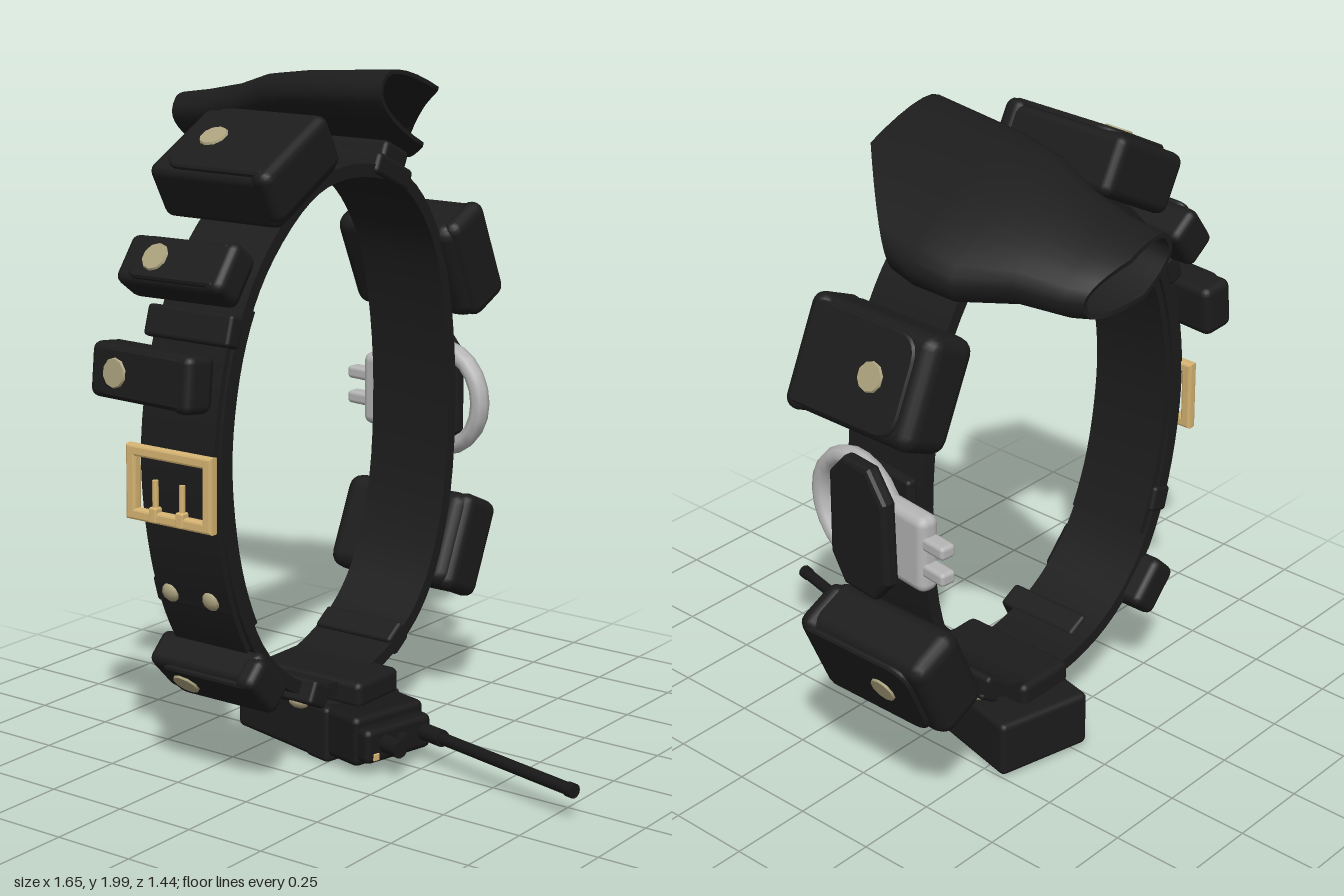
import * as THREE from 'three';
import { toCreasedNormals } from 'three/addons/utils/BufferGeometryUtils.js';
import { RoundedBoxGeometry } from 'three/addons/geometries/RoundedBoxGeometry.js';

const material = (name, color, side = THREE.FrontSide) => {
  const m = new THREE.MeshStandardMaterial({ color, side });
  m.name = name;
  return m;
};

export function createModel() {
  const leather = material('black leather', 0x1c1c1c, THREE.DoubleSide);
  const plastic = material('black plastic', 0x181818);
  const brass = material('brass', 0xd6b472);
  const stud = material('stud metal', 0xaca27e);
  const steel = material('steel', 0xb6b6b6);
  const root = new THREE.Group();
  root.name = 'dutyBelt';

  const add = (parent, name, geo, mat, x = 0, y = 0, z = 0) => {
    const m = new THREE.Mesh(geo, mat);
    m.name = name;
    m.position.set(x, y, z);
    parent.add(m);
    return m;
  };
  const block = (parent, name, mat, [x0, x1], [y0, y1], [z0, z1], r = 0.02) =>
    add(parent, name, new RoundedBoxGeometry(x1 - x0, y1 - y0, z1 - z0, 2, r), mat,
      (x0 + x1) / 2, (y0 + y1) / 2, (z0 + z1) / 2);
  // Group whose local +z points outward along (nz, ny) from the belt loop
  const place = (name, z, y, nz, ny) => {
    const g = new THREE.Group();
    g.name = name;
    g.position.set(0, y, z);
    g.rotation.x = -Math.atan2(ny, nz);
    root.add(g);
    return g;
  };
  const button = (parent, x, y, z, r = 0.044) => {
    const b = add(parent, 'snapButton', new THREE.CylinderGeometry(r * 0.9, r, 0.009, 10), stud, x, y, z);
    b.rotation.x = Math.PI / 2;
  };

  // Belt loop in the z-y plane, clockwise from the top
  const loop = new THREE.CatmullRomCurve3([
    [0, 1.75], [0.19, 1.71], [0.4, 1.54], [0.52, 1.34], [0.585, 1.08], [0.585, 0.86],
    [0.53, 0.6], [0.42, 0.39], [0.24, 0.25], [-0.02, 0.2], [-0.26, 0.28], [-0.4, 0.41],
    [-0.5, 0.65], [-0.53, 1.02], [-0.49, 1.34], [-0.42, 1.53], [-0.27, 1.69],
  ].map(([z, y]) => new THREE.Vector3(z, y, 0)), true);
  const offset = (t, d) => {
    const p = loop.getPoint(t), n = loop.getTangent(t);
    return new THREE.Vector2(p.x - n.y * d, p.y + n.x * d);
  };
  const run = (a, b, d, n) => Array.from({ length: n + 1 }, (_, i) => offset(a + (b - a) * i / n, d));
  const ribbon = (name, shape, x0, x1) => {
    const geo = new THREE.ExtrudeGeometry(shape, { depth: x1 - x0, bevelEnabled: false });
    geo.rotateY(-Math.PI / 2);
    add(root, name, toCreasedNormals(geo, 0.6), leather, x1);
  };
  const beltShape = new THREE.Shape(run(0, 1, 0, 80).slice(0, -1));
  beltShape.holes.push(new THREE.Path(run(0, 1, -0.038, 80).slice(0, -1)));
  ribbon('belt', beltShape, -0.28, 0);
  const strap = (name, a, b, d0, d1, x0, x1) =>
    ribbon(name, new THREE.Shape([...run(a, b, d1, 20), ...run(a, b, d0, 20).reverse()]), x0, x1);
  strap('strapTail', 3 / 17, 6.7 / 17, -0.002, 0.018, -0.27, -0.01);
  strap('innerOverlap', 2.6 / 17, 6.5 / 17, -0.06, -0.036, -0.27, -0.01);

  // Pouches: body, flap hinged on the +x edge, snap button
  const pouch = (name, z, y, nz, ny, x0, x1, h, d, bx, r, yaw = 0) => {
    const g = place(name, z, y, nz, ny);
    g.rotation.y = yaw;
    block(g, 'pouchBody', leather, [x0, x1 - 0.015], [-h / 2, h / 2], [-d / 2, d / 2 - 0.01], r);
    block(g, 'flapTop', leather, [x1 - 0.07, x1], [-h / 2 - 0.003, h / 2 + 0.003], [-d / 2 + 0.02, d / 2], r);
    const e = x0 + 0.05, k = h / 2 - r * 0.4, c = h * 0.22;
    const s = new THREE.Shape();
    s.moveTo(x1 - 0.03, -k);
    s.lineTo(x1 - 0.03, k);
    s.lineTo(e + c, k);
    s.quadraticCurveTo(e, k, e, k - c);
    s.lineTo(e, c - k);
    s.quadraticCurveTo(e, -k, e + c, -k);
    const flap = new THREE.ExtrudeGeometry(s, {
      depth: 0.008, bevelSize: 0.006, bevelThickness: 0.006, bevelSegments: 1, bevelOffset: -0.006, curveSegments: 5,
    });
    add(g, 'flap', toCreasedNormals(flap, 0.7), leather, 0, 0, d / 2 - 0.014);
    button(g, bx, 0, d / 2 + 0.002);
  };
  pouch('largeFrontPouch', 0.258, 1.76, 0.47, 0.88, -0.39, 0.04, 0.31, 0.185, -0.25, 0.03);
  pouch('upperSmallPouch', 0.5, 1.505, 0.8, 0.6, -0.39, 0, 0.15, 0.125, -0.26, 0.025, -0.03);
  pouch('middleSmallPouch', 0.657, 1.235, 0.99, 0.11, -0.39, 0, 0.155, 0.12, -0.28, 0.025, -0.08);
  pouch('lowerSmallPouch', 0.435, 0.347, 0.72, -0.69, -0.34, 0.045, 0.16, 0.12, -0.23, 0.025);
  pouch('upperBackPouch', -0.575, 1.4, -0.91, 0.41, -0.39, 0.055, 0.32, 0.19, -0.22, 0.045);
  pouch('lowerBackPouch', -0.56, 0.515, -0.91, -0.41, -0.41, 0.05, 0.3, 0.19, -0.23, 0.045);
  block(place('pouchLoop', 0.535, 1.36, 0.95, 0.3), 'loop', leather, [-0.29, 0.01], [-0.045, 0.045], [-0.03, 0.025], 0.012);

  // Belt keepers with two studs each
  [[0.525, 0.6, 0.96, -0.28, -0.225, -0.08], [0.22, 0.24, 0.45, -0.89, -0.17, -0.02],
    [-0.25, 0.28, -0.55, -0.83, -0.22, -0.07]].forEach(([z, y, nz, ny, a, b]) => {
    const g = place('beltKeeper', z, y, nz, ny);
    block(g, 'keeperStrap', leather, [a - 0.06, b + 0.07], [-0.04, 0.04], [-0.05, 0.022], 0.012);
    [a, b].forEach(x => {
      add(g, 'keeperStud', new THREE.SphereGeometry(0.03, 10, 6), stud, x, 0, 0.02).scale.z = 0.6;
    });
  });

  // Buckle frame and prongs
  const buckle = place('buckle', 0.6, 0.92, 1, 0.02);
  const rect = (S, x0, x1, k) => new S().moveTo(x0, -k).lineTo(x1, -k).lineTo(x1, k).lineTo(x0, k).closePath();
  const frame = rect(THREE.Shape, -0.302, -0.012, 0.1);
  frame.holes.push(rect(THREE.Path, -0.283, -0.031, 0.081));
  add(buckle, 'buckleFrame', new THREE.ExtrudeGeometry(frame, {
    depth: 0.016, bevelSize: 0.007, bevelThickness: 0.008, bevelSegments: 2,
  }), brass, 0, 0, 0.008);
  [-0.21, -0.115].forEach(x => {
    add(buckle, 'prong', new THREE.CylinderGeometry(0.009, 0.009, 0.11, 8), brass, x, -0.04, 0.02);
    block(buckle, 'prongLoop', brass, [x - 0.014, x + 0.014], [-0.105, -0.06], [0.006, 0.036], 0.006);
  });

  // Handcuffs held by an open case
  const cuffs = new THREE.Group();
  cuffs.name = 'handcuffs';
  cuffs.position.set(-0.15, 0.965, -0.588);
  cuffs.rotation.y = -0.12;
  root.add(cuffs);
  const ring = add(cuffs, 'cuffRing', new THREE.TorusGeometry(0.155, 0.027, 8, 22), steel, 0.065);
  ring.scale.z = 1.2;
  block(cuffs, 'cheekPlate', steel, [-0.24, -0.02], [-0.13, 0.1], [-0.034, 0.034], 0.028);
  [-0.055, 0.025].forEach(y =>
    block(cuffs, 'cuffHinge', steel, [-0.31, -0.2], [y - 0.02, y + 0.02], [-0.025, 0.025], 0.012));
  const caseShape = new THREE.Shape([[-0.13, -0.12], [-0.08, -0.18], [0.03, -0.18], [0.08, -0.11],
    [0.08, 0.13], [0.03, 0.185], [-0.06, 0.185], [-0.12, 0.11]].map(p => new THREE.Vector2(...p)));
  add(cuffs, 'cuffCase', new THREE.ExtrudeGeometry(caseShape, {
    depth: 0.02, bevelSize: 0.014, bevelThickness: 0.014, bevelSegments: 2,
  }), leather, 0, 0, -0.064);
  block(cuffs, 'caseBack', leather, [-0.11, 0.09], [-0.14, 0.14], [0.03, 0.065], 0.012);

  // Radio in its holder, antenna along +x
  const radio = new THREE.Group();
  radio.name = 'radio';
  radio.position.set(-0.1, 0, -0.04);
  radio.rotation.y = -0.23;
  root.add(radio);
  block(radio, 'radioHolder', leather, [-0.27, 0.08], [0.015, 0.19], [-0.16, 0.15], 0.018);
  block(radio, 'holderRim', leather, [0.05, 0.15], [0.012, 0.18], [-0.14, 0.15], 0.015);
  block(radio, 'radioBody', plastic, [-0.1, 0.27], [0.03, 0.18], [-0.125, 0.14], 0.02);
  block(radio, 'radioTop', plastic, [0.24, 0.31], [0.045, 0.15], [-0.12, 0.13], 0.02);
  const rod = (name, r, x0, x1, z) => {
    add(radio, name, new THREE.CylinderGeometry(r, r, x1 - x0, 12), plastic, (x0 + x1) / 2, 0.1, z)
      .rotation.z = -Math.PI / 2;
  };
  rod('antennaBase', 0.025, 0.28, 0.39, -0.09);
  rod('antenna', 0.018, 0.38, 0.9, -0.09);
  rod('antennaTip', 0.021, 0.9, 0.925, -0.09);
  rod('volumeKnob', 0.027, 0.29, 0.375, 0.06);
  rod('channelKnob', 0.022, 0.29, 0.34, 0);
  block(radio, 'indicator', brass, [0.306, 0.314], [0.056, 0.078], [0.086, 0.108], 0.003);
  const snap = new THREE.Group();
  snap.position.set(-0.17, 0.013, 0);
  snap.rotation.x = Math.PI / 2;
  radio.add(snap);
  button(snap, 0, 0, 0);
  block(root, 'radioHanger', leather, [-0.3, 0.08], [0.17, 0.25], [-0.13, 0.07], 0.02);

  // Open holster lofted along x
  // Each ring: x, centre z, centre y, half width, half thickness, set-back of the rear edge
  const rings = [
    [-0.82, -0.33, 1.785, 0.145, 0.07, -0.06], [-0.72, -0.345, 1.792, 0.16, 0.074, 0],
    [-0.58, -0.35, 1.807, 0.186, 0.08, 0], [-0.44, -0.37, 1.823, 0.25, 0.084, 0],
    [-0.3, -0.36, 1.834, 0.265, 0.088, 0], [0.03, -0.345, 1.853, 0.27, 0.092, 0.25],
  ];
  const N = 28, tilt = 0.45;
  const ringPoint = ([x, cz, cy, a, b, back], j, wall) => {
    const t = j / N * Math.PI * 2, c = Math.cos(t), s = Math.sin(t);
    const u = (a - wall) * c, v = (b - wall) * Math.sign(s) * Math.abs(s) ** 0.75;
    return [x - back * Math.max(0, -c), cy + u * Math.sin(tilt) + v * Math.cos(tilt),
      cz + u * Math.cos(tilt) - v * Math.sin(tilt)];
  };
  const pos = [], index = [];
  const rows = [...rings.map(r => [r, 0]), ...rings.slice().reverse().map(r => [r, 0.013]), [rings[0], 0]];
  rows.forEach(([r, w], i) => {
    for (let j = 0; j <= N; j++) {
      pos.push(...ringPoint(r, j, w));
      if (i && j) {
        const d = i * (N + 1) + j, c = d - 1, b = d - N - 1, a = b - 1;
        index.push(a, b, c, b, d, c);
      }
    }
  });
  const holster = new THREE.BufferGeometry();
  holster.setAttribute('position', new THREE.Float32BufferAttribute(pos, 3));
  holster.setIndex(index);
  add(root, 'holster', toCreasedNormals(holster, 0.8), leather);
  const mount = place('holsterMount', -0.2, 1.71, -0.42, 0.9);
  block(mount, 'mountLoop', leather, [-0.29, 0.01], [-0.09, 0.09], [-0.035, 0.03], 0.015);
  block(mount, 'mountShank', leather, [-0.24, 0], [-0.06, 0.06], [0.01, 0.075], 0.015);

  return root;
}
